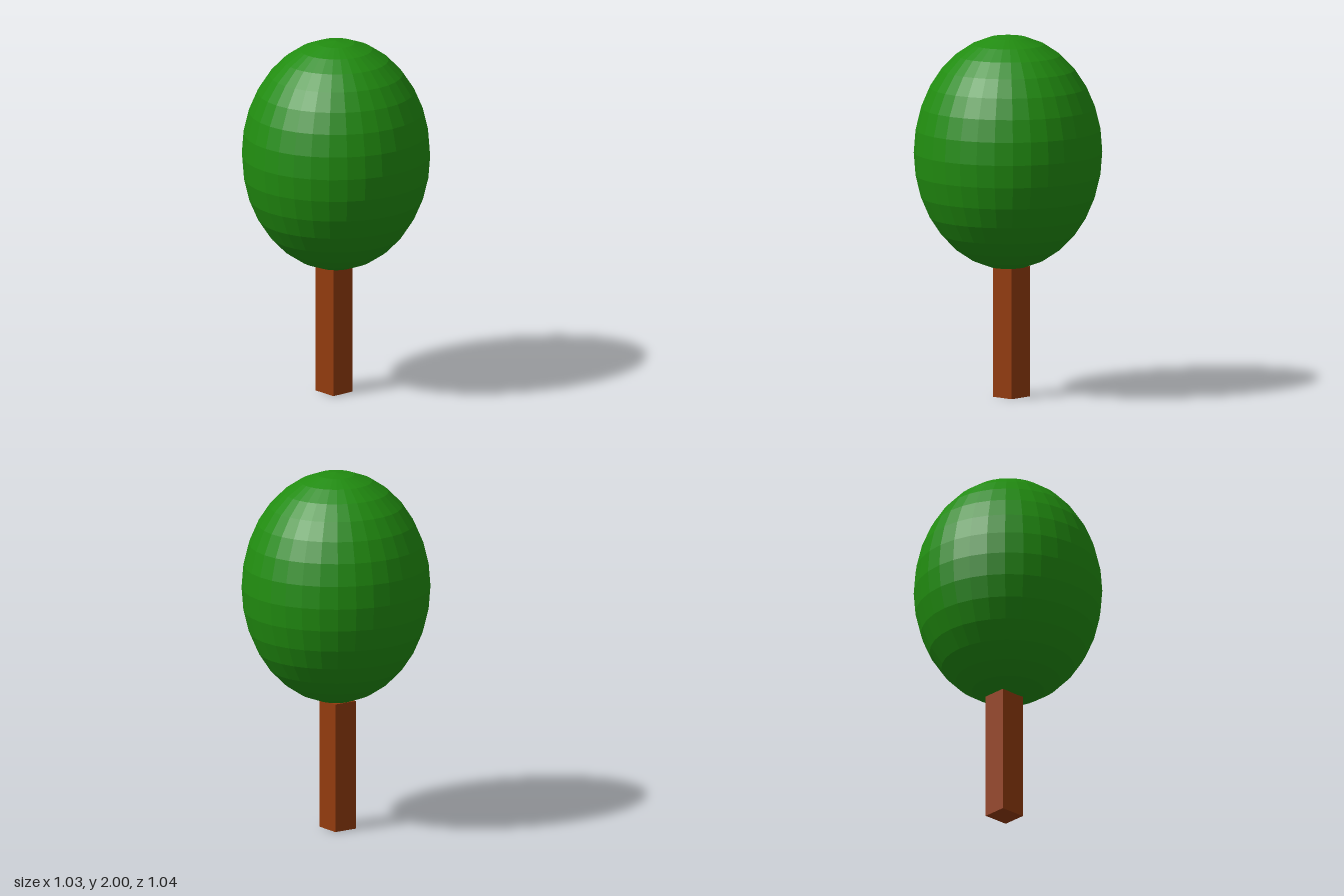
import * as THREE from 'three';

export function createModel() {
  const tree = new THREE.Group();
  tree.name = 'tree';

  const addPart = (name, geometry, color, x, y, z) => {
    const material = new THREE.MeshStandardMaterial({ color, flatShading: true });
    const mesh = new THREE.Mesh(geometry, material);
    mesh.name = name;
    mesh.position.set(x, y, z);
    tree.add(mesh);
    return mesh;
  };

  // Square trunk, slightly off centre, its top tucked into the crown
  const trunkHeight = 0.72;
  addPart('trunk', new THREE.BoxGeometry(0.15, trunkHeight, 0.137), 0x923b0e,
    -0.023, trunkHeight / 2, -0.005);

  // Faceted egg-shaped crown
  const crown = new THREE.SphereGeometry(1, 32, 16);
  crown.scale(0.514, 0.645, 0.518);
  addPart('crown', crown, 0x218c10, 0, 1.355, 0);

  return tree;
}
